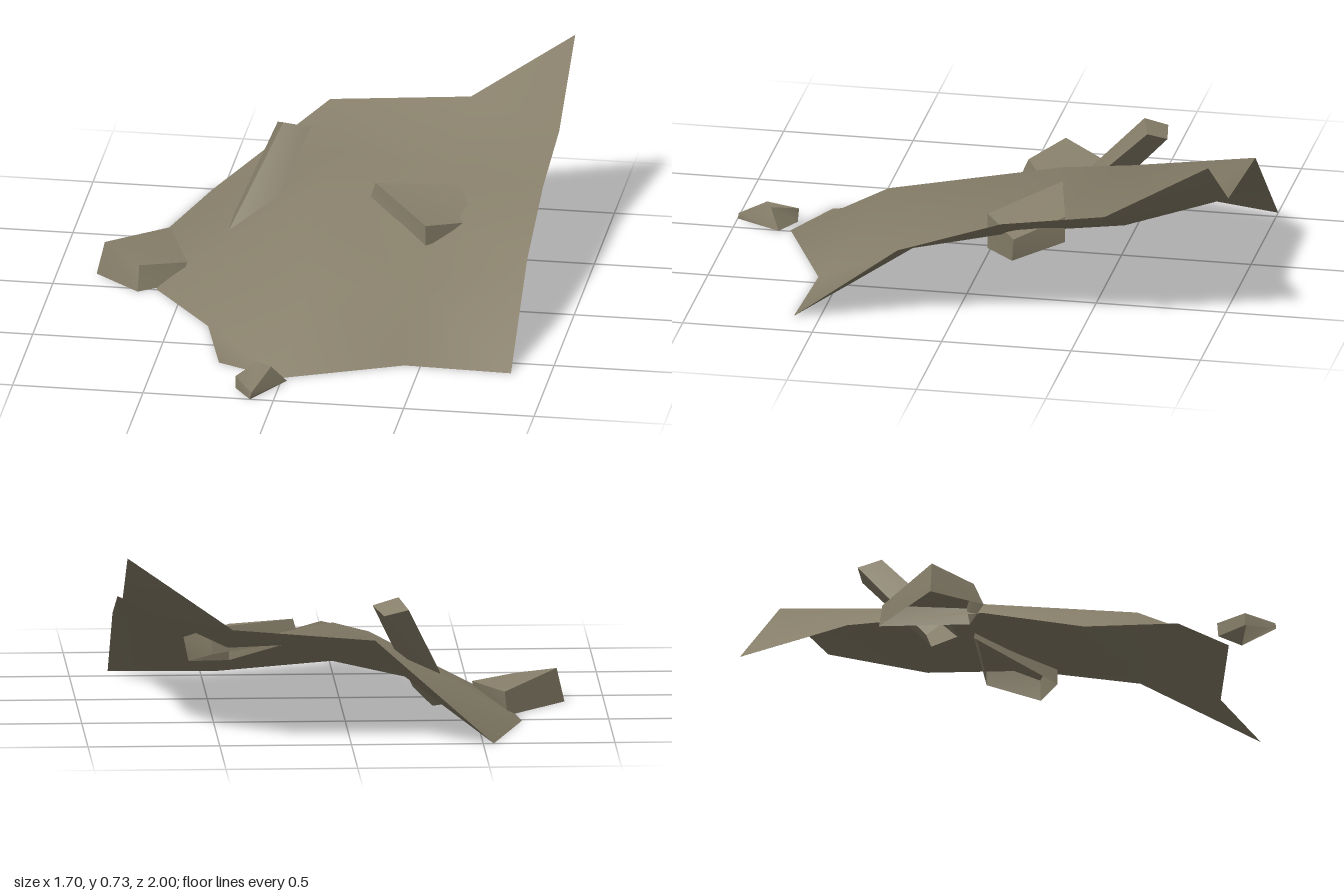
import * as THREE from 'three';

const earth = new THREE.MeshStandardMaterial({ color: 0x877f6a, side: THREE.DoubleSide });
earth.name = 'earth';

// Hillside sheet: rows from back to front, each running left to right as [x, y, z]
const hillRows = [
  [[-0.54, 0, -1], [-0.09, 0.4, -1], [0.45, 0.445, -1], [0.85, 0.725, -1]],
  [[-0.67, 0, -0.52], [0.05, 0.39, -0.55], [0.45, 0.305, -0.6], [0.85, 0.495, -0.6]],
  [[-0.6, 0, 0], [-0.1, 0.3, -0.25], [0.45, 0.25, -0.2], [0.85, 0.435, -0.2]],
  [[-0.355, 0, 0.32], [0.05, 0.225, 0.39], [0.43, 0.157, 0.2], [0.85, 0.298, 0.2]],
  [[-0.26, 0, 0.665], [-0.01, 0, 0.78], [0.44, 0, 0.585], [0.85, 0, 0.6]],
];

// Rocks, open underneath: four upper corners, then four lower corners
const rocks = {
  leftEdgeRock: [
    [-0.82, 0.13, -0.125], [-0.67, 0.092, -0.01], [-0.5, 0.078, -0.1], [-0.61, 0.09, -0.4],
    [-0.85, 0, -0.12], [-0.67, 0, 0.03], [-0.52, 0, -0.08], [-0.62, 0, -0.41],
  ],
  frontRock: [
    [-0.1, 0.055, 0.765], [-0.16, 0.05, 0.9], [-0.085, 0.025, 0.995], [-0.03, 0.08, 0.86],
    [-0.1, 0, 0.77], [-0.16, 0, 0.9], [-0.09, 0, 1], [0.025, 0.008, 0.82],
  ],
  leaningRock: [
    [-0.235, 0.45, -0.635], [-0.2, 0.485, -0.55], [-0.1, 0.46, -0.58], [-0.14, 0.43, -0.65],
    [-0.425, 0.03, -0.29], [-0.39, 0.1, -0.215], [-0.27, 0.08, -0.22], [-0.34, 0.02, -0.3],
  ],
  slopeRock: [
    [0.19, 0.362, -0.31], [0.42, 0.3, -0.065], [0.6, 0.275, -0.2], [0.5, 0.342, -0.38],
    [0.165, 0.28, -0.31], [0.42, 0.16, -0.065], [0.58, 0.18, -0.19], [0.5, 0.24, -0.38],
  ],
};

// Builds a mesh from corner points and four-sided faces
function makeMesh(name, points, quads) {
  const geometry = new THREE.BufferGeometry();
  geometry.setAttribute('position', new THREE.Float32BufferAttribute(points.flat(), 3));
  geometry.setIndex(quads.flatMap(([a, b, c, d]) => [a, b, c, a, c, d]));
  geometry.computeVertexNormals();
  const mesh = new THREE.Mesh(geometry, earth);
  mesh.name = name;
  return mesh;
}

// Smooth sheet: neighbouring faces share their corners
function makeHillside() {
  const quads = [];
  const width = hillRows[0].length;
  for (let row = 0; row < hillRows.length - 1; row++) {
    for (let col = 0; col < width - 1; col++) {
      const a = row * width + col;
      quads.push([a, a + width, a + width + 1, a + 1]);
    }
  }
  return makeMesh('hillside', hillRows.flat(), quads);
}

// Faceted rock: a top and four sides, each with its own corners
function makeRock(name, corners) {
  const faces = [[0, 1, 2, 3]];
  for (let i = 0; i < 4; i++) {
    const j = (i + 1) % 4;
    faces.push([i, i + 4, j + 4, j]);
  }
  const points = faces.flat().map((i) => corners[i]);
  return makeMesh(name, points, faces.map((_, f) => [0, 1, 2, 3].map((k) => f * 4 + k)));
}

export function createModel() {
  const model = new THREE.Group();
  model.name = 'rockyHillside';
  model.add(makeHillside());
  for (const [name, corners] of Object.entries(rocks)) model.add(makeRock(name, corners));
  return model;
}
